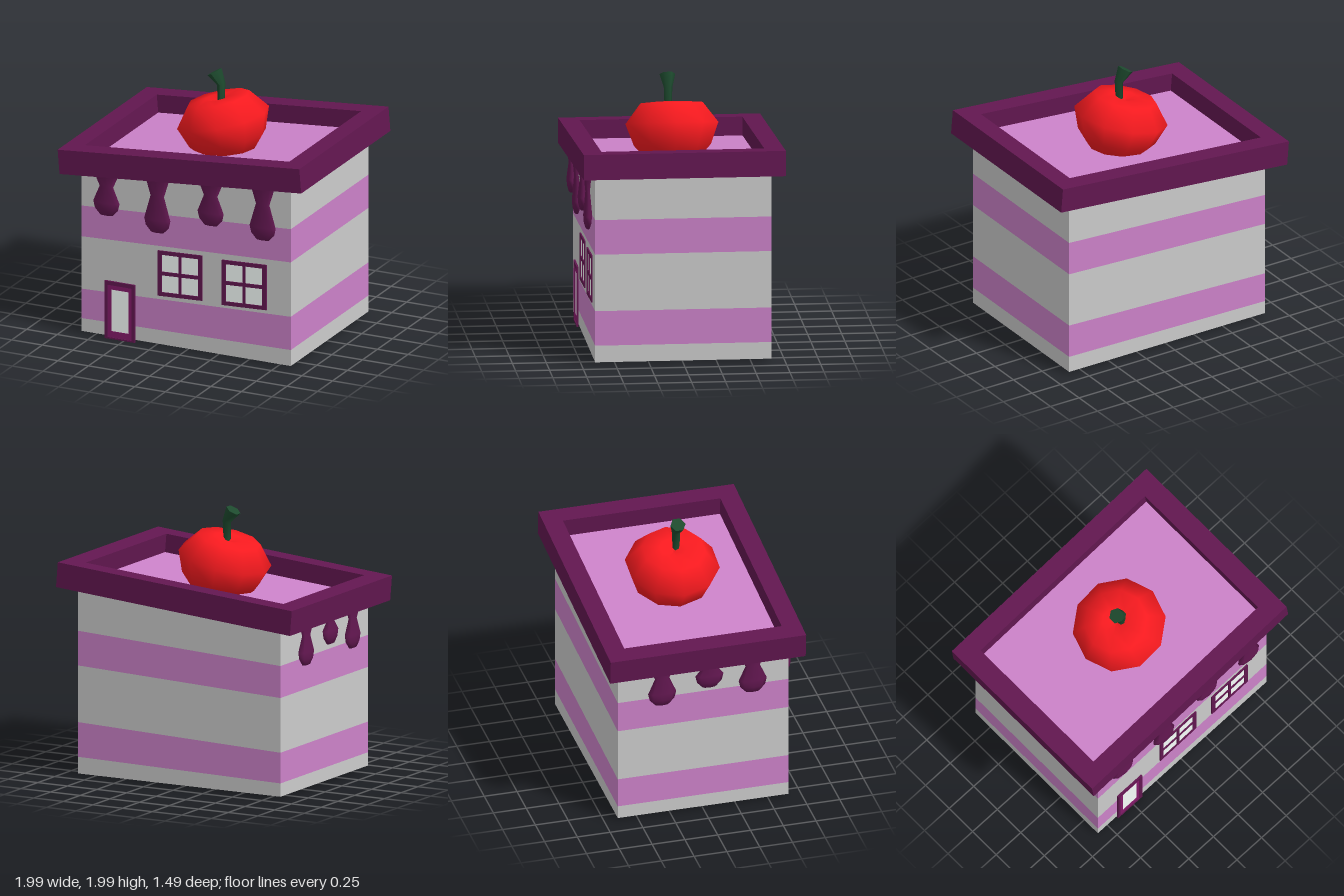
import * as THREE from 'three';

const material = (color) => new THREE.MeshStandardMaterial({ color, side: THREE.DoubleSide });
const grey = material(0xcccccc);
const lavender = material(0xcc82c9);
const plum = material(0x621750);
const magenta = material(0x851a6a);
const pale = material(0xf8fffc);
const red = material(0xf81a1f);
const green = material(0x1d4a2e);

const SLOPE = 0.0835; // the roof rises towards +x
const LEFT = -0.85, RIGHT = 0.86, DEPTH = 0.65;

function add(parent, name, geometry, mat, x = 0, y = 0, z = 0) {
  const mesh = new THREE.Mesh(geometry, mat);
  mesh.name = name;
  mesh.position.set(x, y, z);
  parent.add(mesh);
  return mesh;
}

const polygon = (pts) => new THREE.Shape(pts.map(([x, y]) => new THREE.Vector2(x, y)));
const rect = (x0, y0, x1, y1) => polygon([[x0, y0], [x1, y0], [x1, y1], [x0, y1]]);
const extrude = (shape, depth) => new THREE.ExtrudeGeometry(shape, { depth, bevelEnabled: false });

// Walls: stacked stripes whose edges fan out towards the sloping roof
function addWalls(parent) {
  const edges = [[0.02, 0.02], [0.12, 0.145], [0.35, 0.405], [0.76, 0.83], [1.0, 1.09],
    [1.37 + LEFT * SLOPE, 1.37 + RIGHT * SLOPE]];
  for (let i = 0; i < 5; i++) {
    const [a, b] = [edges[i], edges[i + 1]];
    const shape = polygon([[LEFT, a[0]], [RIGHT, a[1]], [RIGHT, b[1]], [LEFT, b[0]]]);
    add(parent, 'wallStripe', extrude(shape, DEPTH * 2), i % 2 ? lavender : grey, 0, 0, -DEPTH);
  }
}

// Roof: tilted rim around a sunken floor
function addRoof(parent) {
  const roof = new THREE.Group();
  roof.name = 'roof';
  roof.position.set(-0.004, 1.432, 0);
  roof.rotation.z = Math.atan(SLOPE);
  const rim = rect(-0.991, -0.745, 0.991, 0.745);
  rim.holes.push(rect(-0.838, -0.6, 0.838, 0.6));
  const geometry = extrude(rim, 0.188).rotateX(-Math.PI / 2);
  add(roof, 'roofRim', geometry, plum, 0, -0.094, 0);
  add(roof, 'roofFloor', new THREE.BoxGeometry(1.69, 0.02, 1.22), lavender, 0, -0.055, 0);
  parent.add(roof);
}

// Icing drip: flattened turned bulb hanging from the rim
function addDrip(parent, x, z, bottom, onSide) {
  const top = 1.335 + x * SLOPE;
  const wide = bottom + 0.1;
  const profile = [[0, bottom], [0.052, bottom], [0.094, bottom + 0.045], [0.107, wide],
    [0.055, wide + (top - wide) * 0.58], [0.095, top], [0.1, top + 0.03], [0, top + 0.03]];
  const geometry = new THREE.LatheGeometry(profile.map(([r, y]) => new THREE.Vector2(r, y)), 8);
  const drip = add(parent, 'icingDrip', geometry, plum, x, 0, z);
  drip.scale[onSide ? 'x' : 'z'] = 0.31;
}

// Window: slightly skewed frame with four panes
function addWindow(parent, x, y) {
  const group = new THREE.Group();
  group.name = 'window';
  group.position.set(x, y, DEPTH);
  const frame = rect(-0.182, -0.176, 0.182, 0.176);
  for (const sx of [-1, 1]) for (const sy of [-1, 1]) {
    const [cx, cy] = [sx * 0.08, sy * 0.08];
    frame.holes.push(rect(cx - 0.069, cy - 0.066, cx + 0.069, cy + 0.066));
  }
  const skew = new THREE.Matrix4().makeShear(0.045, 0, 0, 0, 0, 0);
  add(group, 'windowFrame', extrude(frame, 0.01).applyMatrix4(skew), plum);
  add(group, 'windowGlass', extrude(rect(-0.17, -0.165, 0.17, 0.165), 0.003).applyMatrix4(skew), pale);
  parent.add(group);
}

// Door: outer frame, inner panel frame and glass
function addDoor(parent) {
  const door = new THREE.Group();
  door.name = 'door';
  door.position.set(-0.533, 0, DEPTH);
  const frame = rect(-0.123, 0, 0.123, 0.45);
  frame.holes.push(rect(-0.098, 0.012, 0.098, 0.42));
  add(door, 'doorFrame', extrude(frame, 0.014), plum);
  const panel = rect(-0.1, 0.01, 0.1, 0.422);
  panel.holes.push(rect(-0.07, 0.06, 0.07, 0.385));
  add(door, 'doorPanel', extrude(panel, 0.008), magenta);
  add(door, 'doorGlass', extrude(rect(-0.075, 0.055, 0.075, 0.39), 0.004), pale);
  parent.add(door);
}

// Apple: leaning ten-sided fruit with a dimple and a bent stem
function addApple(parent) {
  const profile = [[0, -0.3], [0.19, -0.27], [0.29, -0.16], [0.35, 0], [0.235, 0.15], [0.1, 0.16], [0, 0.12]];
  const body = new THREE.LatheGeometry(profile.map(([r, y]) => new THREE.Vector2(r, y)), 10, Math.PI / 2);
  add(parent, 'apple', body, red, -0.012, 1.61, 0).rotation.z = 0.24;

  // Each ring of the stem: centre x, centre y, radius, tilt
  const rings = [[-0.015, 1.73, 0.026, 0], [-0.012, 1.88, 0.032, 0.35], [-0.068, 1.968, 0.058, -0.53]];
  rings[1][3] = -0.5;
  rings[2][3] = 0.54;
  rings[1][3] = 0.3;
  const stem = new THREE.CylinderGeometry(1, 1, 2, 6, 2);
  const p = stem.attributes.position;
  for (let i = 0; i < p.count; i++) {
    const [cx, cy, r, tilt] = rings[Math.round(p.getY(i)) + 1];
    const [x, z] = [p.getX(i) * r, p.getZ(i) * r];
    p.setXYZ(i, cx + x * Math.cos(tilt), cy + x * Math.sin(tilt), 0.028 + z);
  }
  stem.computeVertexNormals();
  add(parent, 'appleStem', stem, green);
}

export function createModel() {
  const model = new THREE.Group();
  model.name = 'shop';
  addWalls(model);
  addRoof(model);
  for (const [x, bottom] of [[-0.63, 0.973], [-0.214, 0.905], [0.222, 1.03], [0.647, 0.985]]) {
    addDrip(model, x, 0.685, bottom, false);
  }
  for (const [z, bottom] of [[-0.32, 0.955], [0.04, 1.05], [0.37, 0.96]]) {
    addDrip(model, -0.88, z, bottom, true);
  }
  addWindow(model, -0.042, 0.584);
  addWindow(model, 0.482, 0.595);
  addDoor(model);
  addApple(model);
  return model;
}
